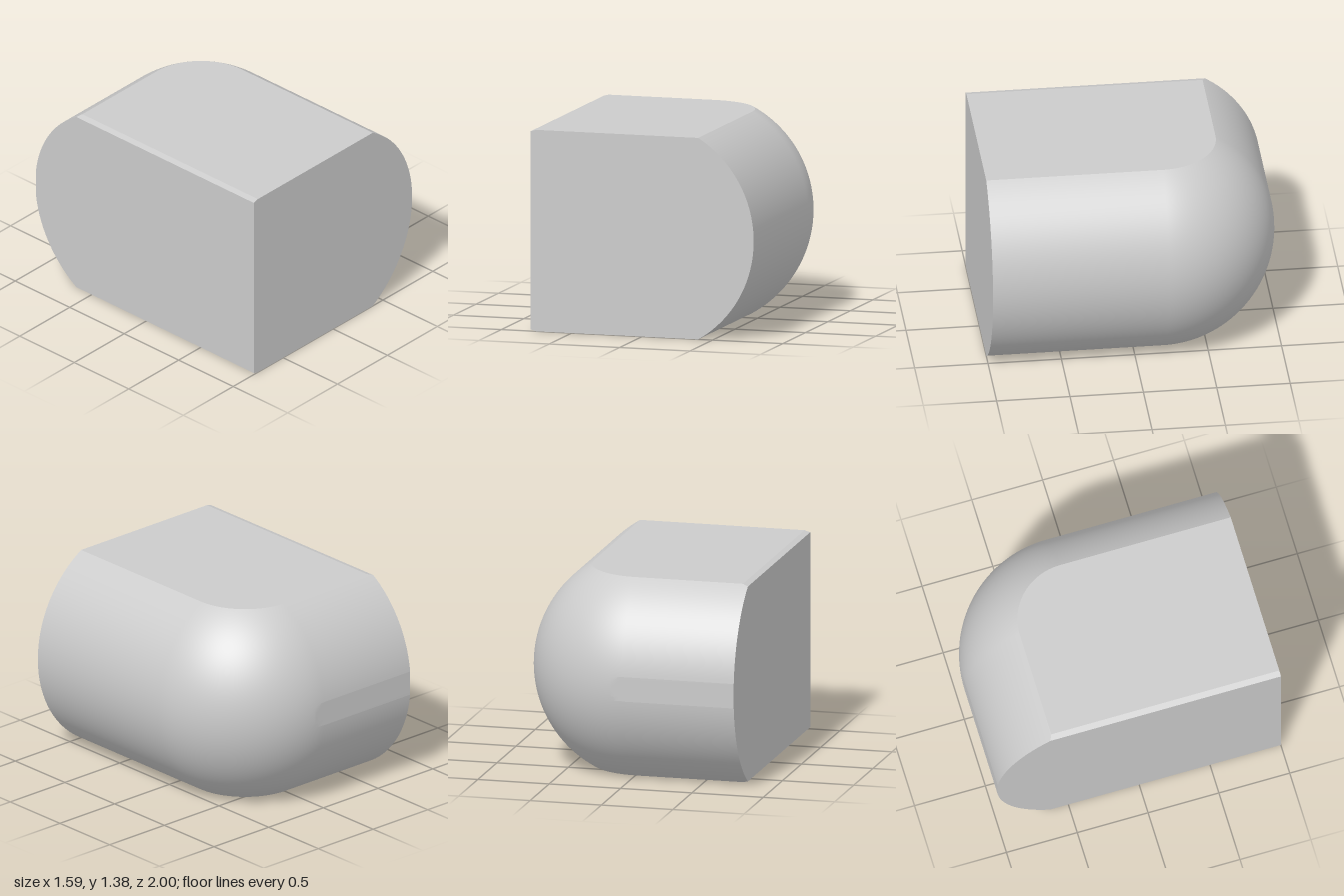
import * as THREE from 'three';
import { toCreasedNormals } from 'three/addons/utils/BufferGeometryUtils.js';

const R = 0.8;                 // radius of the rounded sides and the ball corner
const MID = 0.69;              // half height
const CX = -0.007, CZ = -0.2045; // centre of the ball corner
const LEFT = -0.793, FRONT = 1, BACK = -1;
const ROWS = 60, COLS = 48;

// Horizontal outline at height y, counter-clockwise seen from above
function outline(y) {
  const r = Math.sqrt(R * R - (y - MID) ** 2);
  // tiny chamfer along the upper and lower edges of the flat side
  const edge = Math.min(y, 2 * MID - y);
  const left = LEFT + 0.04 * Math.max(0, 1 - edge / 0.012);
  const ring = [[left, FRONT], [CX + r, FRONT]];
  for (let i = 0; i <= COLS; i++) {
    const a = (i / COLS) * Math.PI / 2;
    // the bulge of the back is trimmed to a narrow flat strip
    ring.push([CX + r * Math.cos(a), Math.max(BACK, CZ - r * Math.sin(a))]);
  }
  ring.push([left, Math.max(BACK, CZ - r)]);
  return ring.map(([x, z]) => [x, y, z]);
}

function bodyGeometry() {
  // Heights evenly spaced along the arc, plus the chamfer and flat strip edges
  const top = Math.asin(MID / R);
  const heights = [0.012, 2 * MID - 0.012, MID - 0.085, MID + 0.085];
  for (let i = 0; i <= ROWS; i++) heights.push(MID + R * Math.sin(top * (2 * i / ROWS - 1)));
  heights.sort((a, b) => a - b);
  const rings = heights.map(y => outline(Math.min(2 * MID, Math.max(0, y))));

  const positions = [];
  const tri = (a, b, c) => positions.push(...a, ...b, ...c);
  const n = rings[0].length;
  // Walls
  for (let i = 0; i < rings.length - 1; i++) {
    for (let j = 0; j < n; j++) {
      const k = (j + 1) % n, lo = rings[i], hi = rings[i + 1];
      tri(lo[j], lo[k], hi[k]);
      tri(lo[j], hi[k], hi[j]);
    }
  }
  // Flat bottom and top
  const bottom = rings[0], lid = rings[rings.length - 1];
  for (let j = 1; j < n - 1; j++) {
    tri(bottom[0], bottom[j + 1], bottom[j]);
    tri(lid[0], lid[j], lid[j + 1]);
  }
  const geometry = new THREE.BufferGeometry();
  geometry.setAttribute('position', new THREE.Float32BufferAttribute(positions, 3));
  return toCreasedNormals(geometry, 0.075);
}

export function createModel() {
  const group = new THREE.Group();
  group.name = 'roundedCornerBlock';
  const body = new THREE.Mesh(bodyGeometry(), new THREE.MeshStandardMaterial({ color: 0xcccccc }));
  body.name = 'body';
  group.add(body);
  return group;
}
